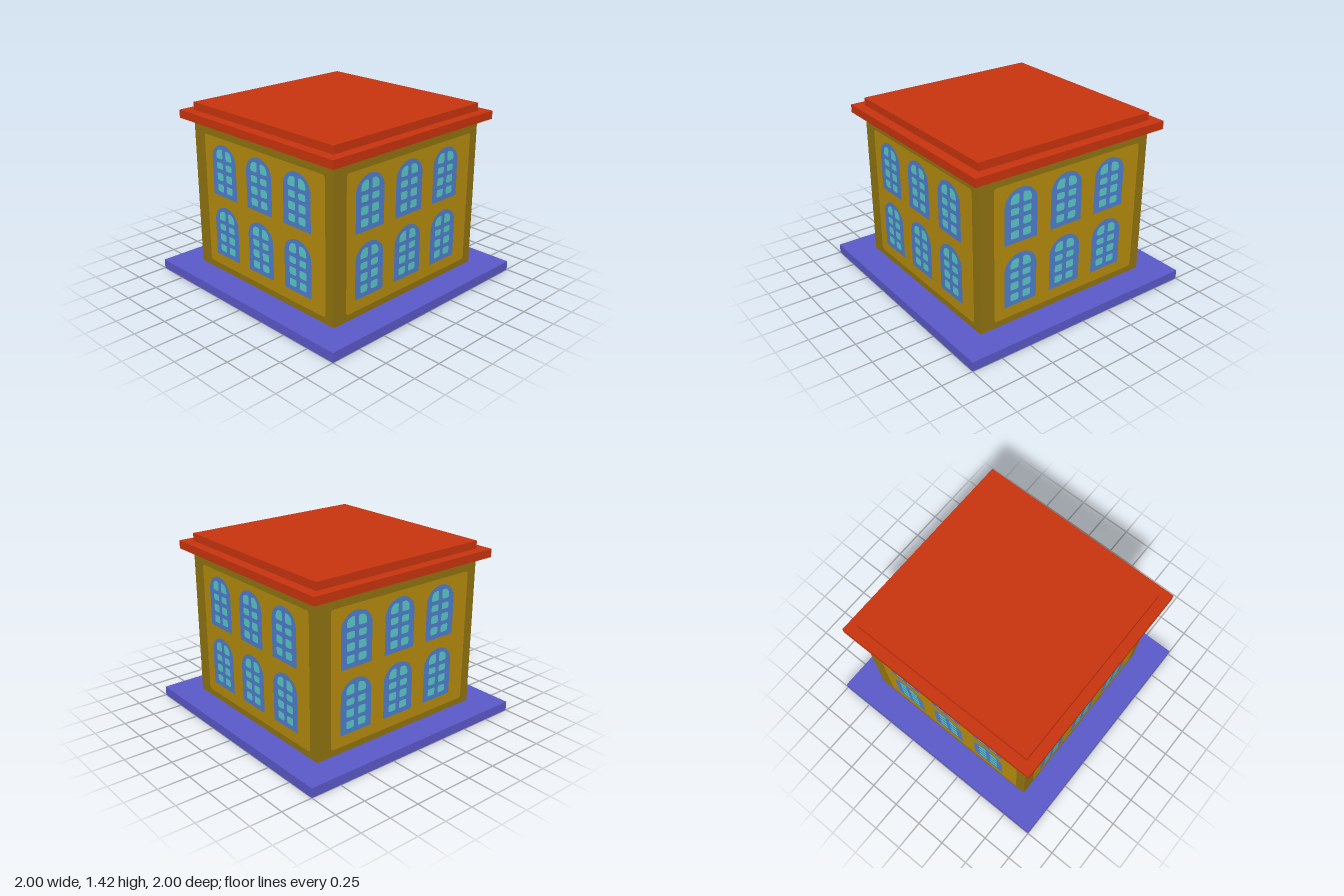
import * as THREE from 'three';

const mat = (name, color) => {
  const m = new THREE.MeshStandardMaterial({ color, side: THREE.DoubleSide });
  m.name = name;
  return m;
};

// Square ring shell swept from a profile of [half width, y] points
function squareShell(name, profile, material) {
  const pts = profile.map(([h, y]) => new THREE.Vector2(h * Math.SQRT2, y));
  const geo = new THREE.LatheGeometry(pts, 4, Math.PI / 4).toNonIndexed();
  geo.computeVertexNormals();
  const mesh = new THREE.Mesh(geo, material);
  mesh.name = name;
  return mesh;
}

// Rectangle with corner radii: bottom left, bottom right, top right, top left
function rect(C, x0, y0, x1, y1, [bl, br, tr, tl] = [0, 0, 0, 0]) {
  const s = new C();
  s.moveTo(x0 + bl, y0);
  s.lineTo(x1 - br, y0);
  if (br) s.quadraticCurveTo(x1, y0, x1, y0 + br);
  s.lineTo(x1, y1 - tr);
  if (tr) s.quadraticCurveTo(x1, y1, x1 - tr, y1);
  s.lineTo(x0 + tl, y1);
  if (tl) s.quadraticCurveTo(x0, y1, x0, y1 - tl);
  s.lineTo(x0, y0 + bl);
  if (bl) s.quadraticCurveTo(x0, y0, x0 + bl, y0);
  return s;
}

// Arched window outline standing on y
function arch(C, x, y) {
  const s = new C();
  s.moveTo(x - 0.143, y);
  s.lineTo(x + 0.143, y);
  s.lineTo(x + 0.143, y + 0.295);
  s.absellipse(x, y + 0.295, 0.143, 0.128, 0, Math.PI, false);
  s.lineTo(x - 0.143, y);
  return s;
}

// Two columns of panes; the top pair is rounded to follow the arch
function panes(C, x, y) {
  const out = [];
  const r = 0.016;
  for (const [b, t] of [[0.037, 0.097], [0.128, 0.19], [0.222, 0.274]]) {
    out.push(rect(C, x - 0.09, y + b, x - 0.018, y + t, [r, r, r, r]));
    out.push(rect(C, x + 0.018, y + b, x + 0.09, y + t, [r, r, r, r]));
  }
  out.push(rect(C, x - 0.092, y + 0.305, x - 0.018, y + 0.382, [r, r, r, 0.06]));
  out.push(rect(C, x + 0.018, y + 0.305, x + 0.092, y + 0.382, [r, r, 0.06, r]));
  return out;
}

export function createModel() {
  const red = mat('roofRed', 0xca340e);
  const blue = mat('baseBlue', 0x5b59ca);
  const olive = mat('wallBorderOlive', 0x917410);
  const ochre = mat('wallPanelOchre', 0xb68c0e);
  const frame = mat('windowFrameBlue', 0x507fcf);
  const glass = mat('windowGlassTurquoise', 0x5acbca);
  const H = 0.773;

  const model = new THREE.Group();
  model.name = 'building';

  // Base skirt and stepped roof
  model.add(
    squareShell('base', [[1, 0], [1, 0.075], [H, 0.075]], blue),
    squareShell('roofSoffit', [[H, 1.29], [0.853, 1.29]], blue),
    squareShell('roof', [[0.853, 1.29], [0.853, 1.355], [H, 1.355], [H, 1.417], [0, 1.417]], red)
  );

  // One wall: border, panel, windows and panes fitted into each other
  const { Shape, Path } = THREE;
  const corners = [0.03, 0.03, 0.03, 0.03];
  const panelArgs = [-0.65, 0.125, 0.692, 1.193, corners];
  const border = rect(Shape, -H, 0.075, H, 1.29);
  border.holes.push(rect(Path, ...panelArgs));
  const panel = rect(Shape, ...panelArgs);
  const frames = [];
  const glazing = [];
  for (const y of [0.212, 0.722]) {
    for (const x of [-0.418, -0.008, 0.405]) {
      panel.holes.push(arch(Path, x, y));
      const f = arch(Shape, x, y);
      f.holes.push(...panes(Path, x, y));
      frames.push(f);
      glazing.push(...panes(Shape, x, y));
    }
  }
  const parts = [
    ['wallBorder', border, olive],
    ['wallPanel', panel, ochre],
    ['windowFrames', frames, frame],
    ['windowPanes', glazing, glass],
  ].map(([name, shapes, material]) => [name, new THREE.ShapeGeometry(shapes, 10), material]);

  // The same wall on all four sides
  ['front', 'left', 'back', 'right'].forEach((side, i) => {
    const wall = new THREE.Group();
    wall.name = side + 'Wall';
    for (const [name, geo, material] of parts) {
      const mesh = new THREE.Mesh(geo, material);
      mesh.name = name;
      mesh.position.z = H;
      wall.add(mesh);
    }
    wall.rotation.y = i * Math.PI / 2;
    model.add(wall);
  });
  return model;
}
